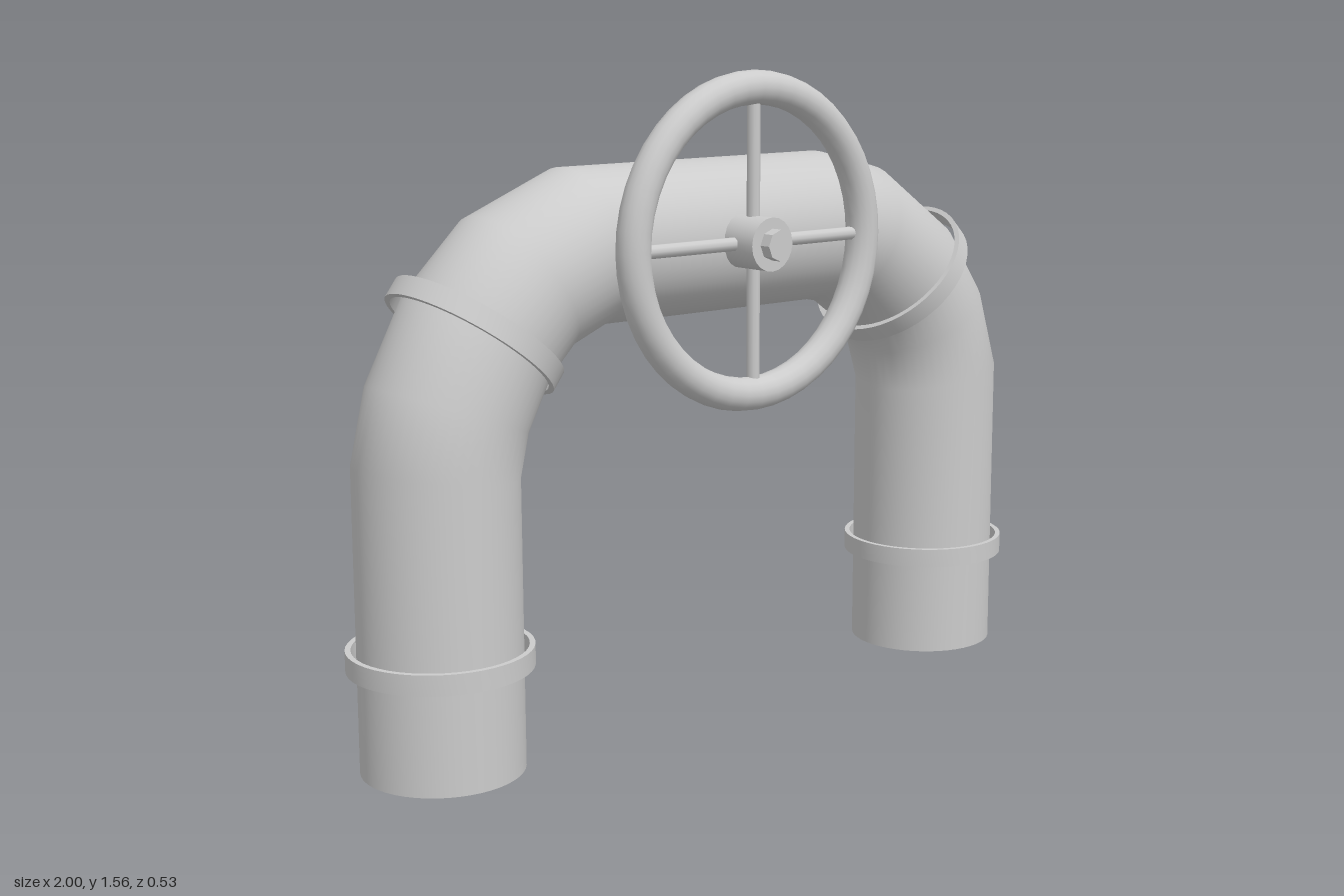
import * as THREE from 'three';
import { toCreasedNormals } from 'three/addons/utils/BufferGeometryUtils.js';

const PIPE_Z = -0.047, PIPE_R = 0.188, SIDES = 48;
const material = new THREE.MeshStandardMaterial({ color: 0xcccccc });
const openMaterial = new THREE.MeshStandardMaterial({ color: 0xcccccc, side: THREE.DoubleSide });

// Open pipe swept along a path in the xy plane, one mitred ring per path point
function pipeGeometry(path, radius) {
  const positions = [], index = [];
  path.forEach(([x, y], i) => {
    const c = new THREE.Vector2(x, y);
    const dirIn = i > 0 ? c.clone().sub(new THREE.Vector2(...path[i - 1])).normalize() : null;
    const dirOut = i < path.length - 1 ? new THREE.Vector2(...path[i + 1]).sub(c).normalize() : null;
    const t = (dirIn || dirOut).clone().add(dirOut || dirIn).normalize();
    for (let j = 0; j < SIDES; j++) {
      const a = (j / SIDES) * Math.PI * 2;
      const u = Math.cos(a) * radius;
      positions.push(x + t.y * u, y - t.x * u, Math.sin(a) * radius);
      if (i < path.length - 1) {
        const p = i * SIDES + j, q = i * SIDES + (j + 1) % SIDES;
        index.push(p, p + SIDES, q, q, p + SIDES, q + SIDES);
      }
    }
  });
  const geometry = new THREE.BufferGeometry();
  geometry.setAttribute('position', new THREE.Float32BufferAttribute(positions, 3));
  geometry.setIndex(index);
  geometry.computeVertexNormals();
  return geometry;
}

// Loose collar with a rectangular section
function collarGeometry() {
  const inner = 0.2, outer = 0.213, h = 0.024;
  const profile = [[inner, -h], [outer, -h], [outer, h], [inner, h], [inner, -h]]
    .map(([x, y]) => new THREE.Vector2(x, y));
  return toCreasedNormals(new THREE.LatheGeometry(profile, SIDES), 0.6);
}

function addMesh(parent, name, geometry, mat = material) {
  const mesh = new THREE.Mesh(geometry, mat);
  mesh.name = name;
  parent.add(mesh);
  return mesh;
}

export function createModel() {
  const model = new THREE.Group();
  model.name = 'pipeWithValve';

  // Arched pipe
  const path = [
    [-0.787, 0], [-0.787, 0.69], [-0.755, 0.825], [-0.672, 0.98], [-0.56, 1.09], [-0.39, 1.16],
    [0.345, 1.162], [0.475, 1.133], [0.648, 1.015], [0.734, 0.895], [0.785, 0.74], [0.785, 0],
  ];
  addMesh(model, 'pipe', pipeGeometry(path, PIPE_R), openMaterial).position.z = PIPE_Z;

  // Collars: x, y, tilt about z
  const collar = collarGeometry();
  const collars = {
    rightFootCollar: [-0.787, 0.265, 0],
    rightBendCollar: [-0.677, 0.982, -0.645],
    leftBendCollar: [0.65, 1.015, Math.PI / 4],
    leftFootCollar: [0.787, 0.265, 0],
  };
  for (const [name, [x, y, tilt]] of Object.entries(collars)) {
    const mesh = addMesh(model, name, collar);
    mesh.position.set(x, y, PIPE_Z);
    mesh.rotation.z = tilt;
  }

  // Valve handwheel
  const wheel = new THREE.Group();
  wheel.name = 'handwheel';
  wheel.position.set(-0.04, 1.163, 0.171);
  model.add(wheel);
  addMesh(wheel, 'wheelRim', new THREE.TorusGeometry(0.358, 0.04, 16, 48));

  for (let i = 0; i < 2; i++) {
    const spoke = addMesh(wheel, 'spoke', new THREE.CylinderGeometry(0.016, 0.016, 0.7, 10));
    spoke.rotation.z = i * Math.PI / 2;
  }

  // Hub and end nut, both pointing forward
  const forward = (name, radius, back, front, sides) => {
    const geometry = toCreasedNormals(new THREE.CylinderGeometry(radius, radius, front - back, sides), 0.6);
    const mesh = addMesh(wheel, name, geometry);
    mesh.rotation.x = Math.PI / 2;
    mesh.position.z = (front + back) / 2;
  };
  forward('hub', 0.063, -0.045, 0.066, 20);
  forward('stemNut', 0.037, 0.05, 0.095, 8);

  return model;
}
